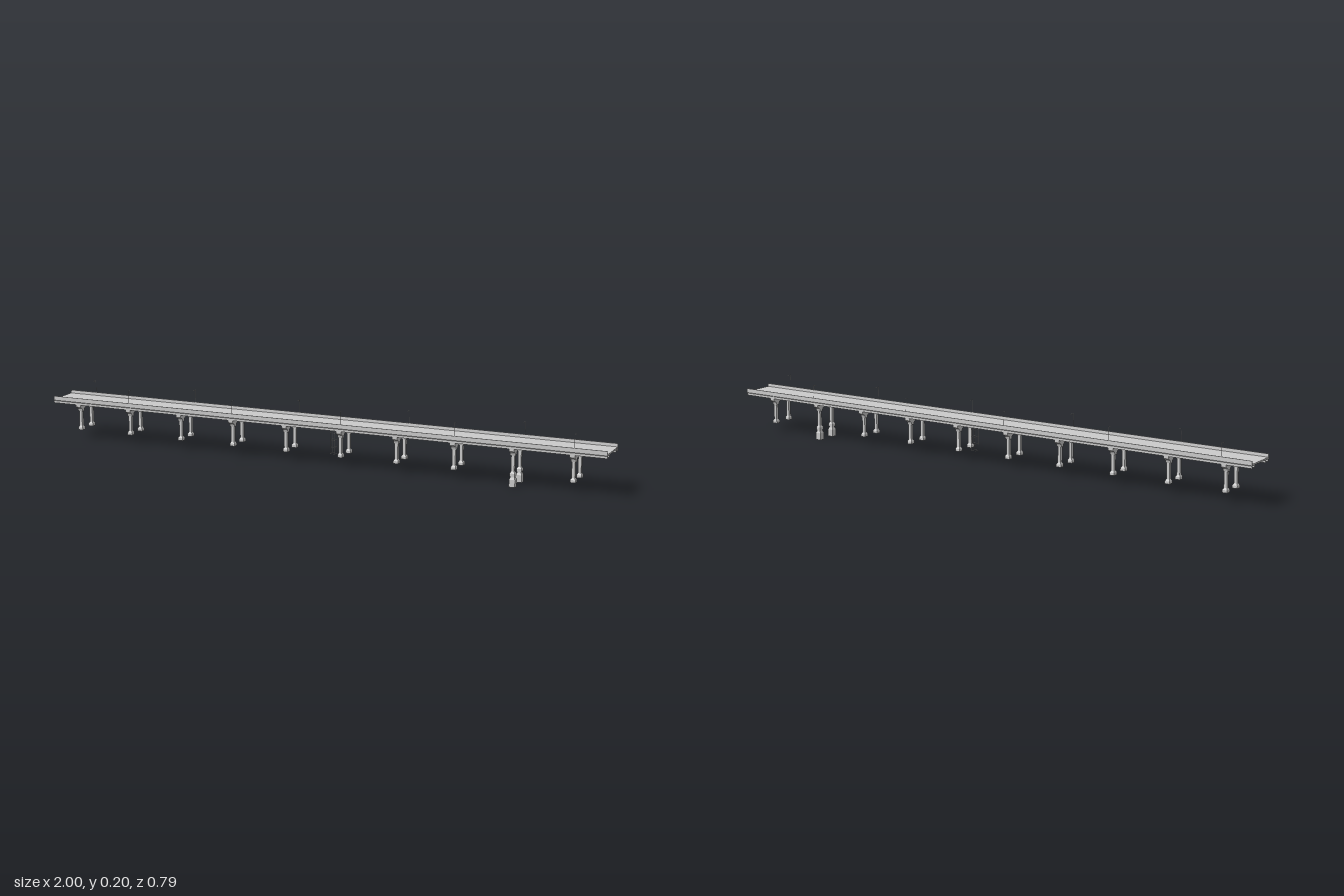
import * as THREE from 'three';

const grey = new THREE.MeshStandardMaterial({ color: 0xcccccc, flatShading: true });
const LENGTH = 2.067, SPAN = 0.2056, ANGLE = -0.33;

function add(parent, name, geometry, x = 0, y = 0, z = 0) {
  const mesh = new THREE.Mesh(geometry, grey);
  mesh.name = name;
  mesh.position.set(x, y, z);
  parent.add(mesh);
  return mesh;
}

// Mirrors half a (z, y) outline and extrudes it along x
function symmetricExtrude(half, depth) {
  const pts = half.map(([z, y]) => new THREE.Vector2(z, y));
  const mirrored = half.map(([z, y]) => new THREE.Vector2(-z, y)).reverse();
  const geo = new THREE.ExtrudeGeometry(new THREE.Shape([...pts, ...mirrored]), { depth, bevelEnabled: false });
  return geo.translate(0, 0, -depth / 2).rotateY(Math.PI / 2);
}

// Square shaft from [half width, y] steps
function squareShaft(steps) {
  const pts = steps.map(([h, y]) => new THREE.Vector2(h * Math.SQRT2, y));
  pts.unshift(new THREE.Vector2(0, steps[0][1]));
  pts.push(new THREE.Vector2(0, steps[steps.length - 1][1]));
  const geo = new THREE.LatheGeometry(pts, 4, Math.PI / 4).toNonIndexed();
  geo.computeVertexNormals();
  return geo;
}

export function createModel() {
  const model = new THREE.Group();
  model.name = 'viaduct';
  const bridge = new THREE.Group();
  bridge.name = 'bridge';
  bridge.rotation.y = ANGLE;
  model.add(bridge);

  // Deck: parapets, slab and four girder webs in one section
  add(bridge, 'deck', symmetricExtrude([
    [0.0365, 0.141], [0.0365, 0.132], [0.0405, 0.132], [0.0405, 0.141],
    [0.0555, 0.141], [0.0555, 0.132], [0.0595, 0.132], [0.0595, 0.140],
    [0.061, 0.142], [0.061, 0.157], [0.0585, 0.157], [0.0575, 0.146],
  ], LENGTH));

  // Piers: two square columns with hammerhead caps
  const columnGeo = squareShaft([[0.009, 0.037], [0.009, 0.046], [0.0055, 0.052], [0.0055, 0.125]]);
  const footingGeo = squareShaft([[0.0103, 0], [0.0103, 0.025], [0.007, 0.033], [0.007, 0.038]]);
  const capGeo = symmetricExtrude([
    [0.0055, 0.106], [0.009, 0.116], [0.021, 0.123], [0.021, 0.132],
  ], 0.018);
  for (let i = 0; i < 10; i++) {
    const pier = new THREE.Group();
    pier.name = 'pier' + (i + 1);
    pier.position.x = (i - 4.5) * SPAN - 0.009;
    for (const z of [-0.0352, 0.0352]) {
      add(pier, 'column', columnGeo, 0, 0, z);
      add(pier, 'columnCap', capGeo, 0, 0, z);
      if (i === 8) add(pier, 'deepFooting', footingGeo, 0, 0, z);
    }
    bridge.add(pier);
  }

  // Street lamps, alternating sides, arms pointing inward
  const poleGeo = new THREE.CylinderGeometry(0.0006, 0.0008, 0.056, 6);
  const armGeo = new THREE.BoxGeometry(0.001, 0.001, 0.012);
  const headGeo = new THREE.BoxGeometry(0.004, 0.0015, 0.006);
  for (let i = 0; i < 10; i++) {
    const side = i % 2 ? 1 : -1;
    const lamp = new THREE.Group();
    lamp.name = 'lamp' + (i + 1);
    lamp.position.set(-0.927 + i * SPAN, 0, side * 0.0585);
    add(lamp, 'lampPole', poleGeo, 0, 0.174, 0);
    add(lamp, 'lampArm', armGeo, 0, 0.2015, -side * 0.006);
    add(lamp, 'lampHead', headGeo, 0, 0.201, -side * 0.010);
    bridge.add(lamp);
  }

  // Access scaffold under the deck
  const scaffold = new THREE.Group();
  scaffold.name = 'scaffold';
  scaffold.position.x = 0.051;
  const postGeo = new THREE.BoxGeometry(0.001, 0.095, 0.001);
  const railX = new THREE.BoxGeometry(0.018, 0.001, 0.001);
  const railZ = new THREE.BoxGeometry(0.001, 0.001, 0.018);
  for (const s of [-0.009, 0.009]) {
    for (const t of [-0.009, 0.009]) add(scaffold, 'scaffoldPost', postGeo, s, 0.0845, t);
    for (const y of [0.038, 0.062, 0.087, 0.112]) {
      add(scaffold, 'scaffoldRail', railX, 0, y, s);
      add(scaffold, 'scaffoldRail', railZ, s, y, 0);
    }
  }
  bridge.add(scaffold);

  // Small hangers along the underside leading to the scaffold
  const hangerGeo = new THREE.BoxGeometry(0.002, 0.014, 0.002);
  for (let i = 0; i < 10; i++) add(bridge, 'hanger', hangerGeo, -0.24 + i * 0.03, 0.1345, 0);

  return model;
}
